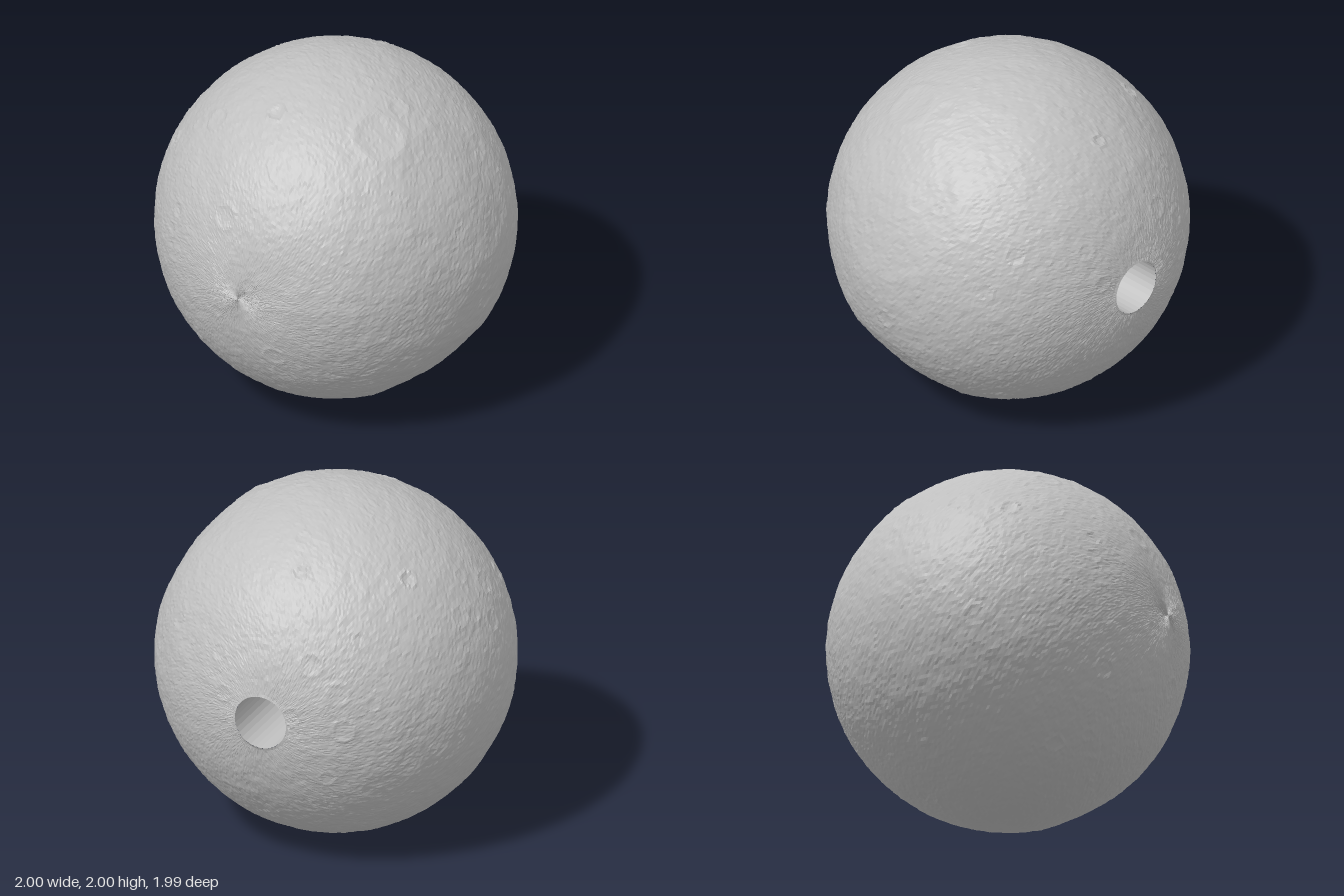
import * as THREE from 'three';

const SEGMENTS = 320, RINGS = 180, HOLE_RADIUS = 0.155, HOLE_DEPTH = 0.6;

// Repeatable value in 0..1 for a lattice cell
function hash(x, y, z) {
  let h = Math.imul(x, 374761393) ^ Math.imul(y, 668265263) ^ Math.imul(z, 1274126177);
  h = Math.imul(h ^ (h >>> 13), 1103515245);
  h = Math.imul(h ^ (h >>> 15), 2246822519);
  return ((h ^ (h >>> 16)) >>> 0) / 4294967295;
}

// Smooth 3D value noise in -1..1
function noise(x, y, z) {
  const xi = Math.floor(x), yi = Math.floor(y), zi = Math.floor(z);
  const ease = t => t * t * (3 - 2 * t), mix = THREE.MathUtils.lerp;
  const u = ease(x - xi), v = ease(y - yi), w = ease(z - zi);
  const row = (b, c) => mix(hash(xi, yi + b, zi + c), hash(xi + 1, yi + b, zi + c), u);
  return mix(mix(row(0, 0), row(1, 0), v), mix(row(0, 1), row(1, 1), v), w) * 2 - 1;
}

// Wide shallow basins and ringed craters: direction, radius, depth
const basins = [
  [0.88, 0.48, 0.05, 0.42, 0.014], [0.72, -0.69, 0.1, 0.36, 0.016],
  [0.86, 0.05, 0.5, 0.36, 0.01], [0.5, 0.82, -0.25, 0.25, 0.008],
];
const craters = [
  [0.47, 0.84, 0.28, 0.14, 0.008], [-0.6, 0.72, -0.35, 0.045, 0.008],
  [-0.07, 0.77, -0.63, 0.035, 0.007], [-0.1, 0.89, 0.45, 0.05, 0.007],
  [-0.78, 0.46, 0.42, 0.05, 0.008],
];
for (let i = 0; i < 110; i++) {
  const z = hash(i, 1, 7) * 2 - 1, a = hash(i, 2, 7) * Math.PI * 2, s = Math.sqrt(1 - z * z);
  const r = 0.02 + 0.05 * hash(i, 3, 7) ** 3;
  craters.push([s * Math.cos(a), s * Math.sin(a), z, r, r * 0.07]);
}
const toDents = list => list.map(([x, y, z, radius, depth]) =>
  ({ dir: new THREE.Vector3(x, y, z).normalize(), radius, depth }));
const basinDents = toDents(basins), craterDents = toDents(craters);

function reliefAt(p) {
  let h = 0.0035 * noise(p.x * 5 + 9, p.y * 5, p.z * 5)
        + 0.0025 * noise(p.x * 14, p.y * 14 + 5, p.z * 14)
        + 0.002 * noise(p.x * 32, p.y * 32, p.z * 32 + 3);
  for (const { dir, radius, depth } of basinDents) {
    const t = p.distanceTo(dir) / radius;
    if (t < 1) h -= depth * (1 - t ** 4);
  }
  for (const { dir, radius, depth } of craterDents) {
    const t = p.distanceTo(dir) / radius;
    if (t < 1.6) h += depth * (0.8 * Math.exp(-(((t - 1) / 0.22) ** 2)) - (t < 1 ? 1 - t * t : 0) * 0.7);
  }
  return h;
}

// Separate facets with their own normals
function faceted(geometry) {
  const flat = geometry.index ? geometry.toNonIndexed() : geometry;
  flat.computeVertexNormals();
  return flat;
}

export function createModel() {
  const group = new THREE.Group();
  group.name = 'moonGlobe';
  const stone = new THREE.MeshStandardMaterial({ color: 0xc0c0c0 });
  stone.name = 'moon grey';
  const add = (name, geometry) => {
    const mesh = new THREE.Mesh(faceted(geometry), stone);
    mesh.name = name;
    mesh.position.y = 1;
    group.add(mesh);
  };

  // Cratered globe, poles along z, open at the back
  const globe = new THREE.SphereGeometry(1, SEGMENTS, RINGS, 0, Math.PI * 2, 0, Math.PI - Math.asin(HOLE_RADIUS));
  globe.rotateX(Math.PI / 2);
  const pos = globe.attributes.position, p = new THREE.Vector3();
  for (let i = 0; i < pos.count; i++) {
    const ring = Math.floor(i / (SEGMENTS + 1)), column = (i % (SEGMENTS + 1)) % SEGMENTS;
    if (ring === 0 || ring === RINGS) continue;
    p.fromBufferAttribute(pos, i);
    const grain = 0.0011 * (hash(column, ring, 11) + hash(column, ring, 12) - 1) * 2;
    p.multiplyScalar(0.998 + reliefAt(p) + grain);
    pos.setXYZ(i, p.x, p.y, p.z);
  }
  add('globe', globe);

  // Round socket in the back, wall facing inward
  const rimZ = -Math.sqrt(1 - HOLE_RADIUS ** 2);
  const wall = new THREE.CylinderGeometry(HOLE_RADIUS, HOLE_RADIUS, HOLE_DEPTH, 32, 1, true);
  wall.rotateX(Math.PI / 2);
  wall.translate(0, 0, rimZ + HOLE_DEPTH / 2);
  const index = wall.index.array;
  for (let i = 0; i < index.length; i += 3) [index[i], index[i + 1]] = [index[i + 1], index[i]];
  add('socketWall', wall);

  const floor = new THREE.CircleGeometry(HOLE_RADIUS, 32);
  floor.rotateY(Math.PI);
  floor.translate(0, 0, rimZ + HOLE_DEPTH);
  add('socketFloor', floor);

  return group;
}
